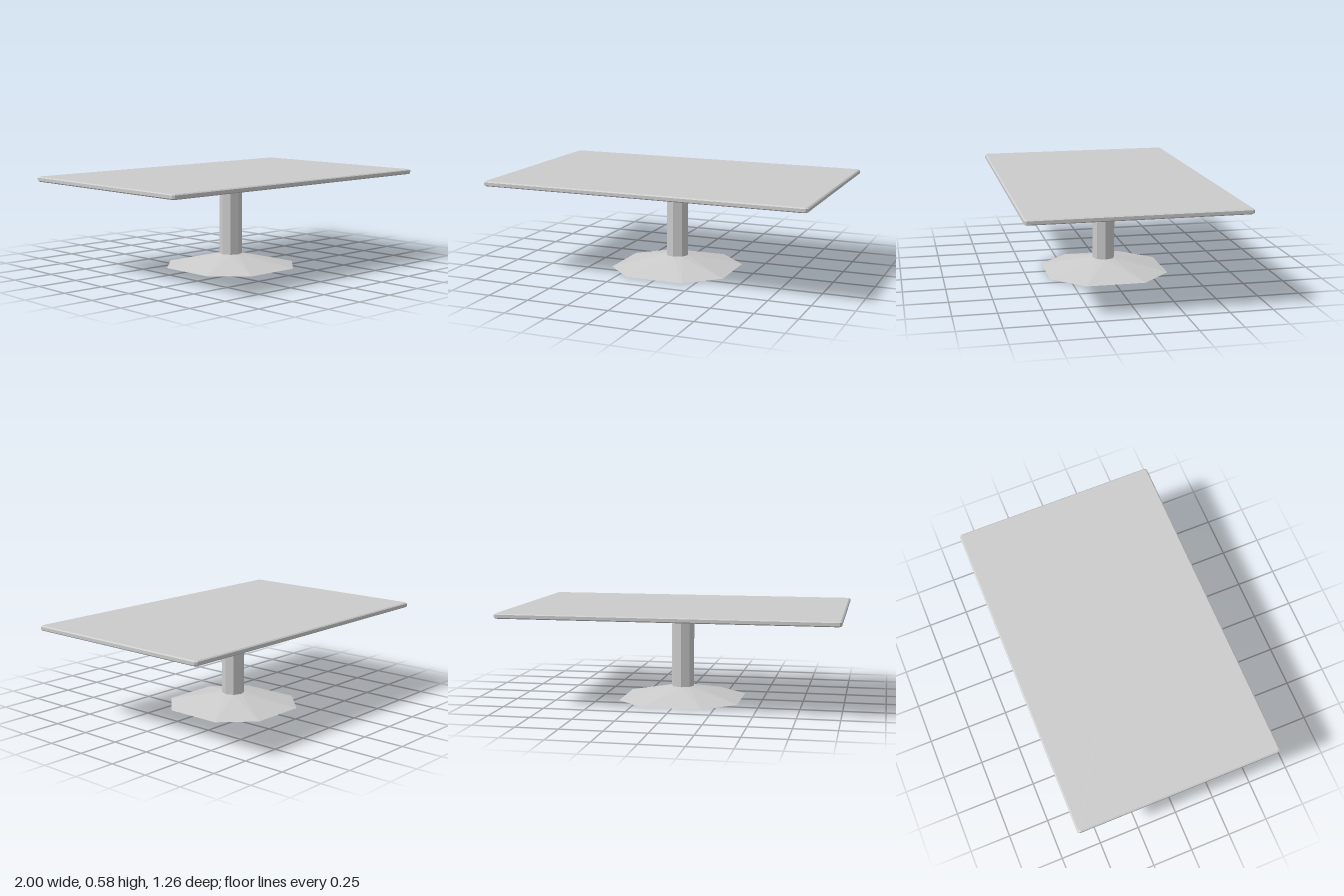
import * as THREE from 'three';

const SIDES = 8;
const material = new THREE.MeshStandardMaterial({ color: 0xcccccc, flatShading: true, side: THREE.DoubleSide });

// Rectangle with cut corners: eight points, running from +x towards +z
function cutRectangle(hx, hz, cutX, cutZ, y) {
  const a = hx - cutX, b = hz - cutZ;
  return [[hx, b], [a, hz], [-a, hz], [-hx, b], [-hx, -b], [-a, -hz], [a, -hz], [hx, -b]]
    .map(([x, z]) => [x, y, z]);
}

// Regular octagon; start sets which corner comes first
function octagon(r, y, start = 0) {
  return Array.from({ length: SIDES }, (_, k) => {
    const t = (k + start) * Math.PI * 2 / SIDES;
    return [r * Math.cos(t), y, r * Math.sin(t)];
  });
}

// Skin a stack of rings from bottom to top, optionally closing the top
function loft(name, rings, closeTop = false) {
  const pos = [];
  const tri = (...corners) => corners.forEach((c) => pos.push(...c));
  for (let i = 0; i < rings.length - 1; i++) {
    const lower = rings[i], upper = rings[i + 1];
    for (let k = 0; k < SIDES; k++) {
      const n = (k + 1) % SIDES;
      tri(lower[k], upper[k], upper[n]);
      tri(lower[k], upper[n], lower[n]);
    }
  }
  if (closeTop) {
    const top = rings[rings.length - 1];
    for (let k = 1; k < SIDES - 1; k++) tri(top[0], top[k + 1], top[k]);
  }
  const geometry = new THREE.BufferGeometry();
  geometry.setAttribute('position', new THREE.Float32BufferAttribute(pos, 3));
  geometry.computeVertexNormals();
  const mesh = new THREE.Mesh(geometry, material);
  mesh.name = name;
  return mesh;
}

export function createModel() {
  const table = new THREE.Group();
  table.name = 'pedestalTable';
  const radius = 0.07, footTop = 0.073, columnTop = 0.5;

  // Sloping foot, open underneath
  table.add(loft('foot', [
    cutRectangle(0.367, 0.367, 0.187, 0.187, 0),
    octagon(radius, footTop),
  ]));

  // Hollow column
  table.add(loft('column', [octagon(radius, footTop), octagon(radius, columnTop)]));

  // Tapered underside spreading from the column to the slab
  const slab = (inset, y) => cutRectangle(1 - inset, 0.628 - inset, 0.012, 0.012, y);
  table.add(loft('underside', [octagon(radius, columnTop, 1), slab(0.008, 0.546)]));

  // Thin slab with bevelled rims
  table.add(loft('tableTop', [
    slab(0.008, 0.546), slab(0, 0.552), slab(0, 0.57), slab(0.008, 0.576),
  ], true));

  return table;
}
